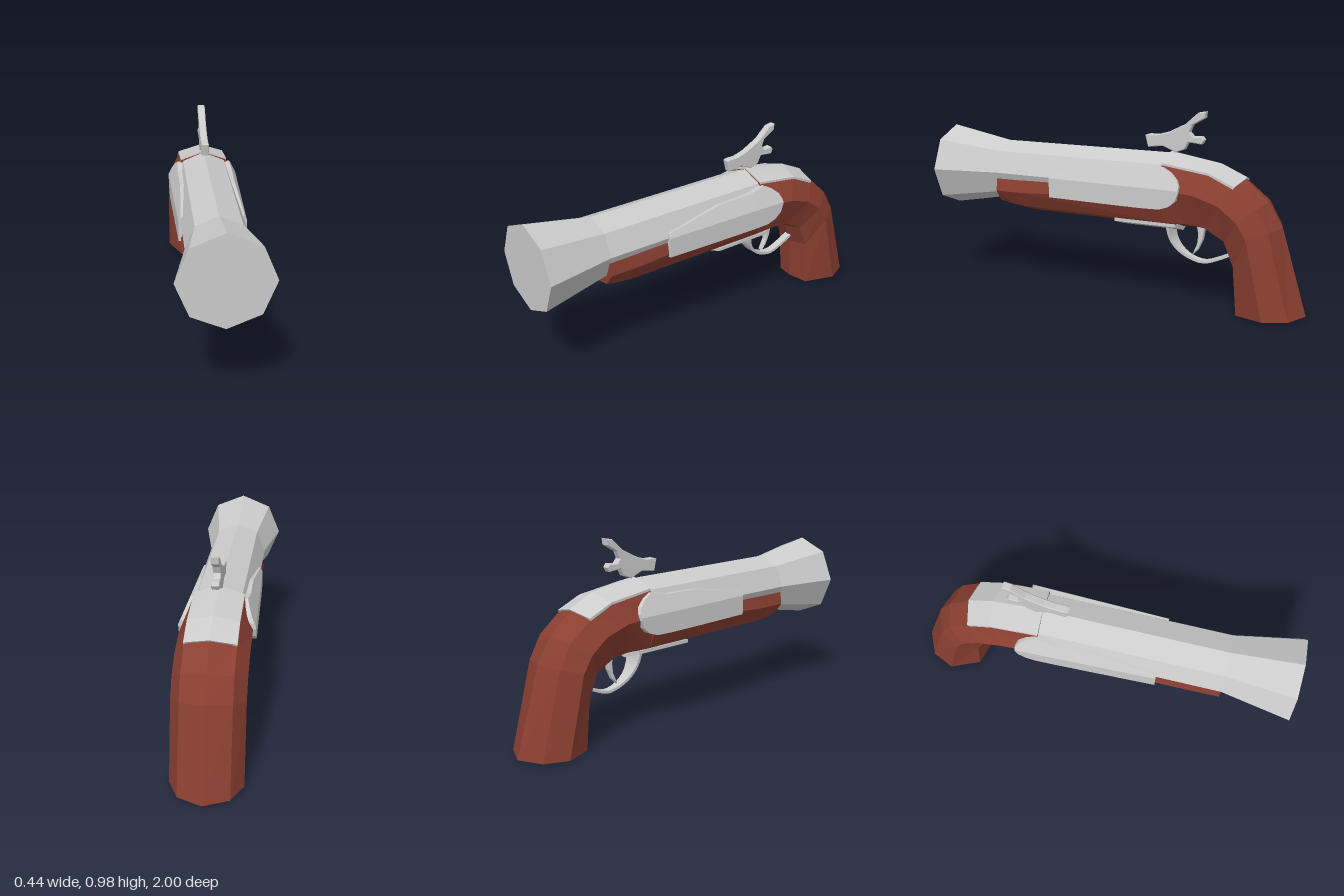
import * as THREE from 'three';
import { toCreasedNormals } from 'three/addons/utils/BufferGeometryUtils.js';

const steel = new THREE.MeshStandardMaterial({ color: 0xcccccc, flatShading: true });
const steelSmooth = new THREE.MeshStandardMaterial({ color: 0xcccccc });
const wood = new THREE.MeshStandardMaterial({ color: 0x8b3f31, flatShading: true });

// Closed skin over equal-length loops of [x, y, z], capped at both ends and turned outwards
function loft(sections) {
  const n = sections[0].length, last = sections.length - 1;
  const pts = sections.flat().map(p => new THREE.Vector3(...p));
  const idx = [];
  for (let s = 0; s < last; s++) {
    for (let i = 0; i < n; i++) {
      const a = s * n + i, b = s * n + (i + 1) % n;
      idx.push(a, b, b + n, a, b + n, a + n);
    }
  }
  // caps fan out from their centres
  [0, last].forEach(s => {
    const c = new THREE.Vector3();
    for (let i = 0; i < n; i++) c.addScaledVector(pts[s * n + i], 1 / n);
    const ci = pts.push(c) - 1;
    for (let i = 0; i < n; i++) {
      const a = s * n + i, b = s * n + (i + 1) % n;
      if (s === 0) idx.push(ci, b, a); else idx.push(ci, a, b);
    }
  });
  let volume = 0;
  const cross = new THREE.Vector3();
  for (let i = 0; i < idx.length; i += 3) {
    volume += pts[idx[i]].dot(cross.crossVectors(pts[idx[i + 1]], pts[idx[i + 2]]));
  }
  if (volume < 0) idx.reverse();
  const g = new THREE.BufferGeometry().setFromPoints(pts);
  g.setIndex(idx);
  g.computeVertexNormals();
  return g;
}

// Side outline given as [z, y], extruded across x
function sidePlate(outline, width) {
  const shape = new THREE.Shape(outline.map(([z, y]) => new THREE.Vector2(-z, y)));
  const b = 0.004;
  const g = new THREE.ExtrudeGeometry(shape, {
    depth: width - 2 * b, bevelEnabled: true, bevelSize: b, bevelOffset: -b, bevelThickness: b, bevelSegments: 1,
  });
  g.translate(0, 0, -width / 2 + b);
  g.rotateY(Math.PI / 2); // shape x becomes -z
  return g;
}

export function createModel() {
  const model = new THREE.Group();
  const add = (name, geometry, material) => {
    const m = new THREE.Mesh(geometry, material);
    m.name = name;
    model.add(m);
  };

  // Octagonal barrel with a flared muzzle
  const ring = (r, z) => Array.from({ length: 8 }, (_, i) => {
    const a = i * Math.PI / 4;
    return [Math.sin(a) * r, 0.607 + Math.cos(a) * r, z];
  });
  add('barrel', loft([ring(0.218, 1), ring(0.154, 0.65), ring(0.154, -0.29)]), steel);

  // Stock: half section of ridge, upper corner, side, lower corner and keel, mirrored
  const mirrorLoop = half => [...half, ...half.slice(1, -1).reverse().map(([x, y, z]) => [-x, y, z])];
  const rear = [
    [[0, 0.762, -0.29], [0.12, 0.72, -0.29], [0.168, 0.6, -0.29], [0.105, 0.425, -0.29], [0, 0.387, -0.29]],
    [[0, 0.72, -0.55], [0.12, 0.688, -0.53], [0.173, 0.59, -0.47], [0.105, 0.43, -0.42], [0, 0.395, -0.4]],
    [[0, 0.66, -0.68], [0.12, 0.632, -0.655], [0.173, 0.55, -0.6], [0.105, 0.42, -0.51], [0, 0.4, -0.5]],
    [[0, 0.555, -0.8], [0.12, 0.54, -0.77], [0.173, 0.48, -0.69], [0.105, 0.365, -0.61], [0, 0.345, -0.595]],
    [[0, 0.44, -0.87], [0.12, 0.43, -0.832], [0.173, 0.4, -0.74], [0.105, 0.245, -0.66], [0, 0.235, -0.64]],
    [[0, 0.01, -1], [0.12, 0.01, -0.945], [0.173, 0.01, -0.83], [0.105, 0, -0.68], [0, 0.01, -0.65]],
  ];
  const fore = [
    [[0, 0.6, 0.65], [0.14, 0.575, 0.65], [0.15, 0.51, 0.65], [0.105, 0.45, 0.65], [0, 0.435, 0.65]],
    [[0, 0.6, 0.58], [0.14, 0.577, 0.58], [0.151, 0.51, 0.58], [0.105, 0.437, 0.58], [0, 0.407, 0.58]],
    [[0, 0.6, 0.5], [0.14, 0.579, 0.5], [0.152, 0.51, 0.5], [0.105, 0.43, 0.5], [0, 0.391, 0.5]],
    [[0, 0.6, -0.285], [0.14, 0.6, -0.285], [0.167, 0.56, -0.285], [0.105, 0.425, -0.285], [0, 0.387, -0.285]],
  ];
  add('stock', loft([...fore, ...rear].map(mirrorLoop)), wood);

  // Steel strap over the top of the wrist
  add('topStrap', loft(rear.slice(0, 3).map(([r, c], i) => {
    const dy = 0.007, dz = -0.003 * i;
    return [
      [-0.122, c[1] + dy, c[2] + dz], [0, r[1] + dy, r[2] + dz], [0.122, c[1] + dy, c[2] + dz],
      [0.122, c[1] - 0.008, c[2]], [0, r[1] - 0.02, r[2]], [-0.122, c[1] - 0.008, c[2]],
    ];
  })), steel);

  // Lock plates on both sides: [z, bottom, top]
  const lockRows = [
    [0.32, 0.507, 0.63], [0, 0.505, 0.685], [-0.2, 0.505, 0.69],
    [-0.3, 0.508, 0.71], [-0.35, 0.525, 0.685], [-0.385, 0.555, 0.655], [-0.4, 0.595, 0.625],
  ];
  for (const side of [1, -1]) {
    add(side > 0 ? 'leftLockPlate' : 'rightLockPlate', loft(lockRows.map(([z, b, t]) => {
      const out = 0.165 + 0.02 * (0.32 - z) / 0.72;
      const top = out - (t - 0.605) * 0.42;
      return [[0.11, b, z], [out, b, z], [out, 0.607, z], [top, t, z], [top - 0.03, t, z]]
        .map(([x, y, w]) => [x * side, y, w]);
    })), steel);
  }

  // V-shaped plate under the stock
  add('triggerPlate', loft([-0.03, -0.36].map(z => [
    [-0.112, 0.408, z], [0, 0.371, z], [0.112, 0.408, z],
    [0.112, 0.425, z], [0, 0.392, z], [-0.112, 0.425, z],
  ])), steel);

  // Trigger guard: curved strap, broad at the front and narrow below
  const path = new THREE.CatmullRomCurve3([
    [0.39, -0.295], [0.33, -0.307], [0.275, -0.345], [0.235, -0.41], [0.222, -0.48], [0.245, -0.55], [0.282, -0.63],
  ].map(([y, z]) => new THREE.Vector3(0, y, z)));
  const guard = [];
  for (let i = 0; i <= 18; i++) {
    const t = i / 18, p = path.getPoint(t), d = path.getTangent(t);
    const w = 0.02 + 0.036 * Math.pow(Math.max(0, 1 - t * 1.8), 1.3);
    const ny = d.z * 0.007, nz = -d.y * 0.007;
    guard.push([
      [-w, p.y + ny, p.z + nz], [w, p.y + ny, p.z + nz],
      [w, p.y - ny, p.z - nz], [-w, p.y - ny, p.z - nz],
    ]);
  }
  add('triggerGuard', toCreasedNormals(loft(guard), 0.7), steelSmooth);

  // Curved trigger
  add('trigger', sidePlate([
    [-0.435, 0.41], [-0.445, 0.36], [-0.44, 0.31], [-0.415, 0.25],
    [-0.445, 0.28], [-0.468, 0.33], [-0.482, 0.41],
  ], 0.03), steel);

  // Hammer with forked jaws above the barrel
  add('hammer', sidePlate([
    [-0.155, 0.842], [-0.17, 0.782], [-0.25, 0.793], [-0.32, 0.765], [-0.365, 0.782],
    [-0.385, 0.82], [-0.455, 0.813], [-0.468, 0.835], [-0.455, 0.852], [-0.41, 0.848],
    [-0.39, 0.87], [-0.405, 0.905], [-0.47, 0.943], [-0.474, 0.975], [-0.435, 0.968],
    [-0.37, 0.91], [-0.28, 0.865], [-0.22, 0.848], [-0.172, 0.848],
  ], 0.038), steel);

  return model;
}
